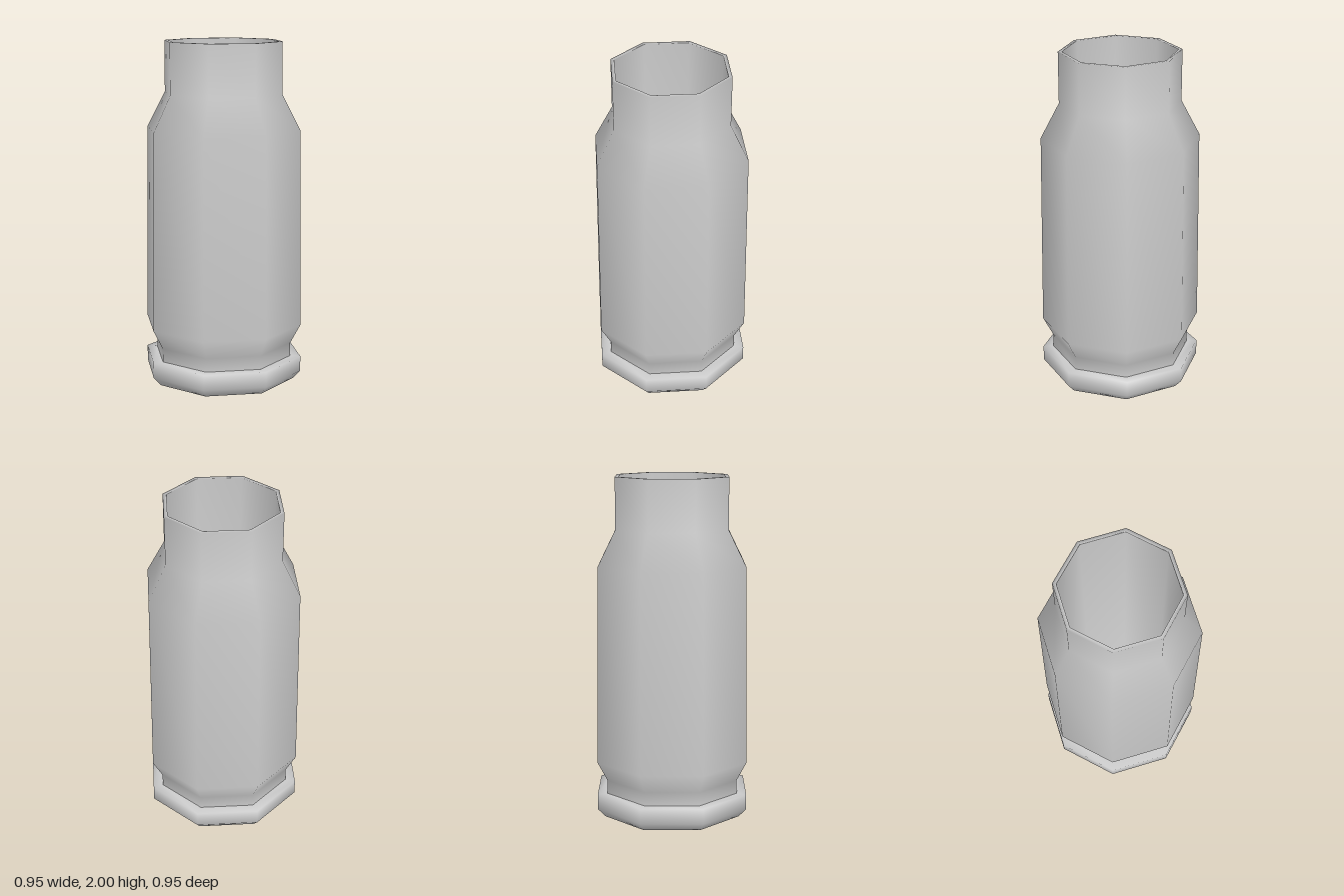
import * as THREE from 'three';

const SIDES = 8;

// Turned part: profile of [radius, height] points, running from the bottom up the outside
function turned(name, profile, material) {
  const points = profile.map(([r, y]) => new THREE.Vector2(r, y));
  const mesh = new THREE.Mesh(new THREE.LatheGeometry(points, SIDES), material);
  mesh.name = name;
  return mesh;
}

export function createModel() {
  const group = new THREE.Group();
  group.name = 'cartridgeCase';
  const metal = new THREE.MeshStandardMaterial({ color: 0xcccccc });

  // Closed base with a bevelled flange
  group.add(turned('baseFlange', [
    [0, 0], [0.43, 0], [0.475, 0.05], [0.475, 0.14], [0.413, 0.14],
  ], metal));

  // Groove, slightly tapered wall, shoulder, neck and mouth lip
  group.add(turned('caseBody', [
    [0.413, 0.14], [0.413, 0.22], [0.473, 0.335], [0.458, 1.495],
    [0.35, 1.70], [0.35, 2], [0.328, 2],
  ], metal));

  // Hollow inside with its floor
  group.add(turned('innerBore', [
    [0.328, 2], [0.328, 0.2], [0, 0.2],
  ], metal));

  return group;
}
